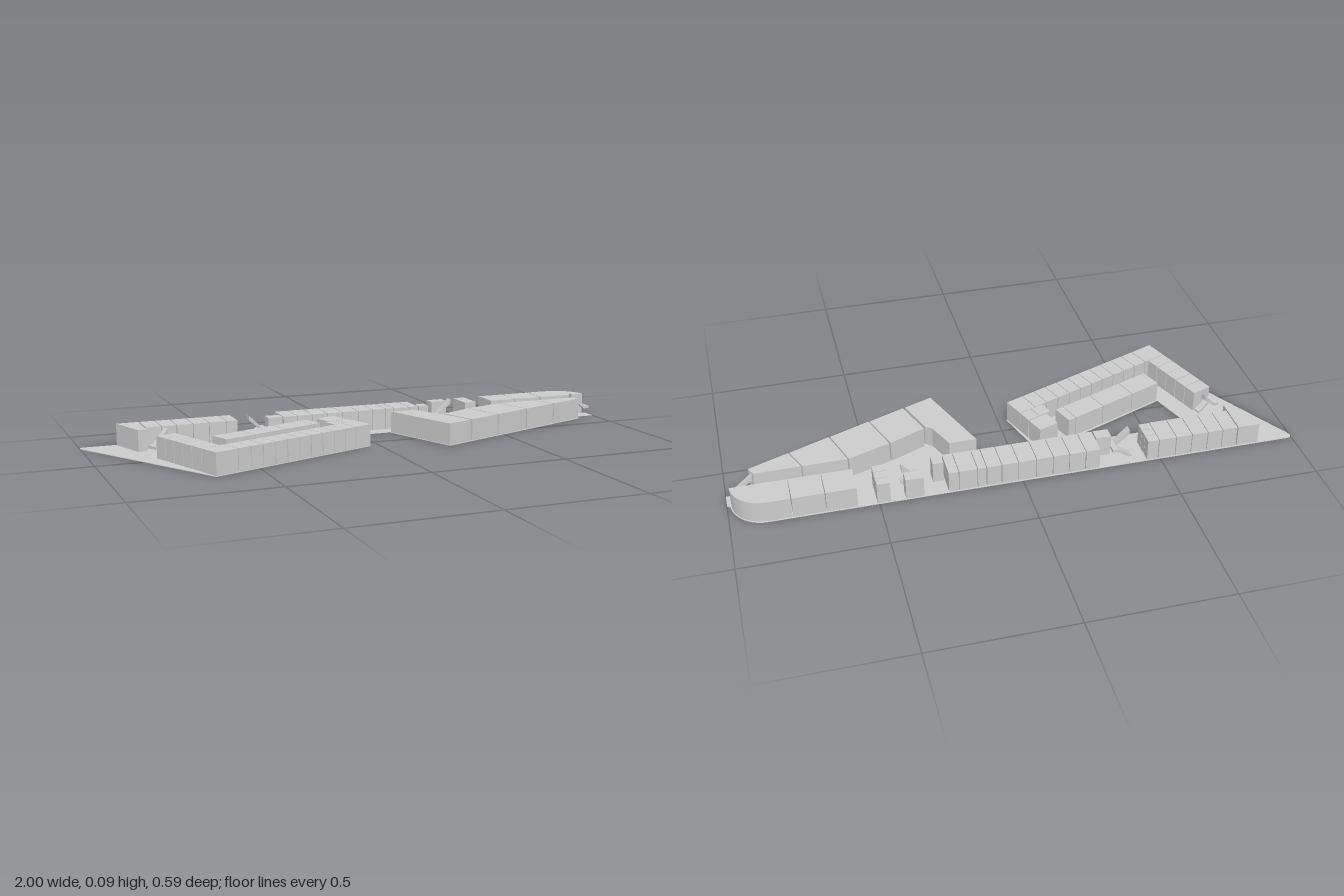
import * as THREE from 'three';

const GREY = new THREE.MeshStandardMaterial({ color: 0xcccccc, side: THREE.DoubleSide });
const FLOOR = 0.002, HEIGHT = 0.08, GAP = 0.0025;

// Local frame of the slanted left wing: u runs along the outer wall, v runs inwards
const wingPoint = (u, v) => [-0.665 + 0.938 * u - 0.347 * v, 0.293 - 0.347 * u - 0.938 * v];

// Plan outline from [x, z] corners
function outline(points, Type = THREE.Shape) {
  return new Type(points.map(([x, z]) => new THREE.Vector2(x, -z)));
}

// Upright prism over a plan outline
function prism(name, shape, y0, y1) {
  const geo = new THREE.ExtrudeGeometry(shape, { depth: y1 - y0, bevelEnabled: false, curveSegments: 12 });
  geo.rotateX(-Math.PI / 2).translate(0, y0, 0);
  const mesh = new THREE.Mesh(geo, GREY);
  mesh.name = name;
  return mesh;
}

const room = (name, points, top = HEIGHT) => prism(name, outline(points), FLOOR, top);

// Rectangular room, aligned to the main bar
function barRoom(x0, x1, z0 = -0.293, z1 = -0.187, top = HEIGHT) {
  const a = x0 + GAP / 2, b = x1 - GAP / 2;
  return room('barRoom', [[a, z0], [b, z0], [b, z1], [a, z1]], top);
}

// Rectangular room in the left wing frame
function wingRoom(name, u0, u1, v0, v1) {
  const a = u0 + GAP / 2, b = u1 - GAP / 2, c = v0 + GAP / 2, d = v1 - GAP / 2;
  return room(name, [wingPoint(a, c), wingPoint(b, c), wingPoint(b, d), wingPoint(a, d)]);
}

// Two sloping flights side by side with a half-height landing; +x is the landing end
function staircase(x, z, angle, length, width) {
  const stair = new THREE.Group();
  stair.name = 'staircase';
  const run = length * 0.75, half = HEIGHT / 2, w = width * 0.45;
  const flights = [
    [[0, FLOOR], [0.012, FLOOR], [run, half - 0.01], [run, half], [0, 0.008]],
    [[0, HEIGHT - 0.006], [run, half - 0.01], [run, half], [0, HEIGHT + 0.012]],
  ];
  flights.forEach((profile, i) => {
    const shape = new THREE.Shape(profile.map(([px, py]) => new THREE.Vector2(px, py)));
    const mesh = new THREE.Mesh(new THREE.ExtrudeGeometry(shape, { depth: w, bevelEnabled: false }), GREY);
    mesh.name = i ? 'upperFlight' : 'lowerFlight';
    mesh.position.z = i ? width / 2 - w : -width / 2;
    stair.add(mesh);
  });
  const landing = new THREE.Mesh(new THREE.BoxGeometry(length - run, 0.01, width), GREY);
  landing.name = 'landing';
  landing.position.set((length + run) / 2, half - 0.005, 0);
  stair.add(landing);
  stair.position.set(x, 0, z);
  stair.rotation.y = angle;
  return stair;
}

// Thin floor plate with the triangular courtyard cut out
function buildFloor() {
  const shape = new THREE.Shape();
  shape.moveTo(-0.985, 0.298);
  shape.lineTo(0.87, 0.298);
  shape.bezierCurveTo(0.95, 0.298, 0.985, 0.235, 0.99, 0.19);
  const edge = [[1, -0.185], [1, -0.132], [0.905, -0.132], [0.922, -0.098], [0.228, 0.162], [0.12, -0.133],
    [-0.09, -0.133], wingPoint(0.676, 0), wingPoint(-0.002, -0.002), [-0.995, -0.27]];
  edge.forEach(([x, z]) => shape.lineTo(x, -z));
  shape.quadraticCurveTo(-1.008, 0.295, -0.985, 0.298);
  shape.holes.push(outline([[-0.67, -0.135], wingPoint(0.142, 0.222), [-0.215, -0.115], [-0.215, -0.135]], THREE.Path));
  return prism('floorPlate', shape, 0, FLOOR);
}

// Long straight bar along the back
function buildBar() {
  const bar = new THREE.Group();
  bar.name = 'mainBar';
  bar.add(room('endRoom', [[-0.868, -0.293], [-0.789, -0.293], [-0.789, -0.152], [-0.82, -0.152]]));
  const runs = [
    [-0.786, -0.73, -0.674, -0.615, -0.556, -0.492],
    [-0.278, -0.225, -0.166, -0.107, -0.048, 0.016, 0.075, 0.128, 0.16, 0.225],
    [0.225, 0.262],
    [0.572, 0.679, 0.791],
  ];
  for (const xs of runs)
    for (let i = 0; i + 1 < xs.length; i++) bar.add(barRoom(xs[i], xs[i + 1]));

  // Small stacked closets
  for (const [x0, x1] of [[-0.492, -0.45], [0.46, 0.508]])
    for (let i = 0; i < 3; i++) {
      const z = -0.293 + i * 0.0355;
      bar.add(barRoom(x0, x1, z, z + 0.033));
    }
  bar.add(barRoom(-0.337, -0.28, -0.23, -0.187));
  bar.add(barRoom(0.264, 0.304, -0.23, -0.187));
  bar.add(barRoom(0.345, 0.41, -0.293, -0.25));

  // Rounded nose room
  const nose = new THREE.Shape();
  nose.moveTo(0.793, 0.293);
  nose.lineTo(0.868, 0.293);
  nose.bezierCurveTo(0.94, 0.293, 0.985, 0.24, 0.985, 0.187);
  nose.lineTo(0.793, 0.187);
  bar.add(prism('noseRoom', nose, FLOOR, HEIGHT));

  bar.add(staircase(-0.405, -0.23, 0, 0.07, 0.06));
  bar.add(staircase(0.412, -0.215, Math.PI, 0.07, 0.055));
  bar.add(staircase(0.905, -0.16, 0, 0.08, 0.045));
  return bar;
}

// Slanted left wing around the courtyard
function buildLeftWing() {
  const wing = new THREE.Group();
  wing.name = 'leftWing';
  wing.add(wingRoom('cornerRoom', 0, 0.09, 0, 0.083));
  const count = 10, step = 0.0515;
  for (let i = 0; i < count; i++)
    wing.add(wingRoom('outerRoom', 0.09 + i * step, 0.09 + (i + 1) * step, 0, 0.083));
  wing.add(wingRoom('outerEndRoom', 0.605, 0.674, 0, 0.083));
  for (let i = 0; i < 5; i++)
    wing.add(wingRoom('sideRoom', 0, 0.076, 0.083 + i * 0.0525, 0.083 + (i + 1) * 0.0525));
  const inner = [0.142, 0.264, 0.4, 0.523, 0.556];
  for (let i = 0; i < 4; i++)
    wing.add(wingRoom('innerRoom', inner[i], inner[i + 1], 0.137, 0.219));
  wing.add(wingRoom('endRoom', 0.595, 0.674, 0.137, 0.207));
  wing.add(wingRoom('endCloset', 0.575, 0.625, 0.083, 0.135));
  wing.add(wingRoom('endCloset', 0.625, 0.674, 0.083, 0.135));
  const [x, z] = wingPoint(0.068, 0.372);
  wing.add(staircase(x, z, Math.PI + 0.354, 0.068, 0.05));
  return wing;
}

// Tapering right wing
function buildRightWing() {
  const wing = new THREE.Group();
  wing.name = 'rightWing';
  wing.add(room('cornerRoom', [[0.125, -0.128], [0.222, -0.128], [0.262, -0.03], [0.284, -0.012], [0.331, 0.119], [0.23, 0.157]]));
  // Dividing walls as pairs of inner and outer corners
  const walls = [
    [[0.288, -0.022], [0.337, 0.117]],
    [[0.422, -0.077], [0.471, 0.067]],
    [[0.576, -0.129], [0.621, 0.011]],
    [[0.735, -0.13], [0.77, -0.045]],
    [[0.902, -0.13], [0.917, -0.1]],
  ];
  for (let i = 0; i < 4; i++) {
    const [[ax, az], [bx, bz]] = walls[i], [[cx, cz], [dx, dz]] = walls[i + 1];
    wing.add(room('wingRoom', [[ax + GAP, az], [cx - GAP, cz], [dx - GAP, dz], [bx + GAP, bz]]));
  }
  return wing;
}

export function createModel() {
  const model = new THREE.Group();
  model.name = 'terminalBuilding';
  model.add(buildFloor(), buildBar(), buildLeftWing(), buildRightWing());
  return model;
}
